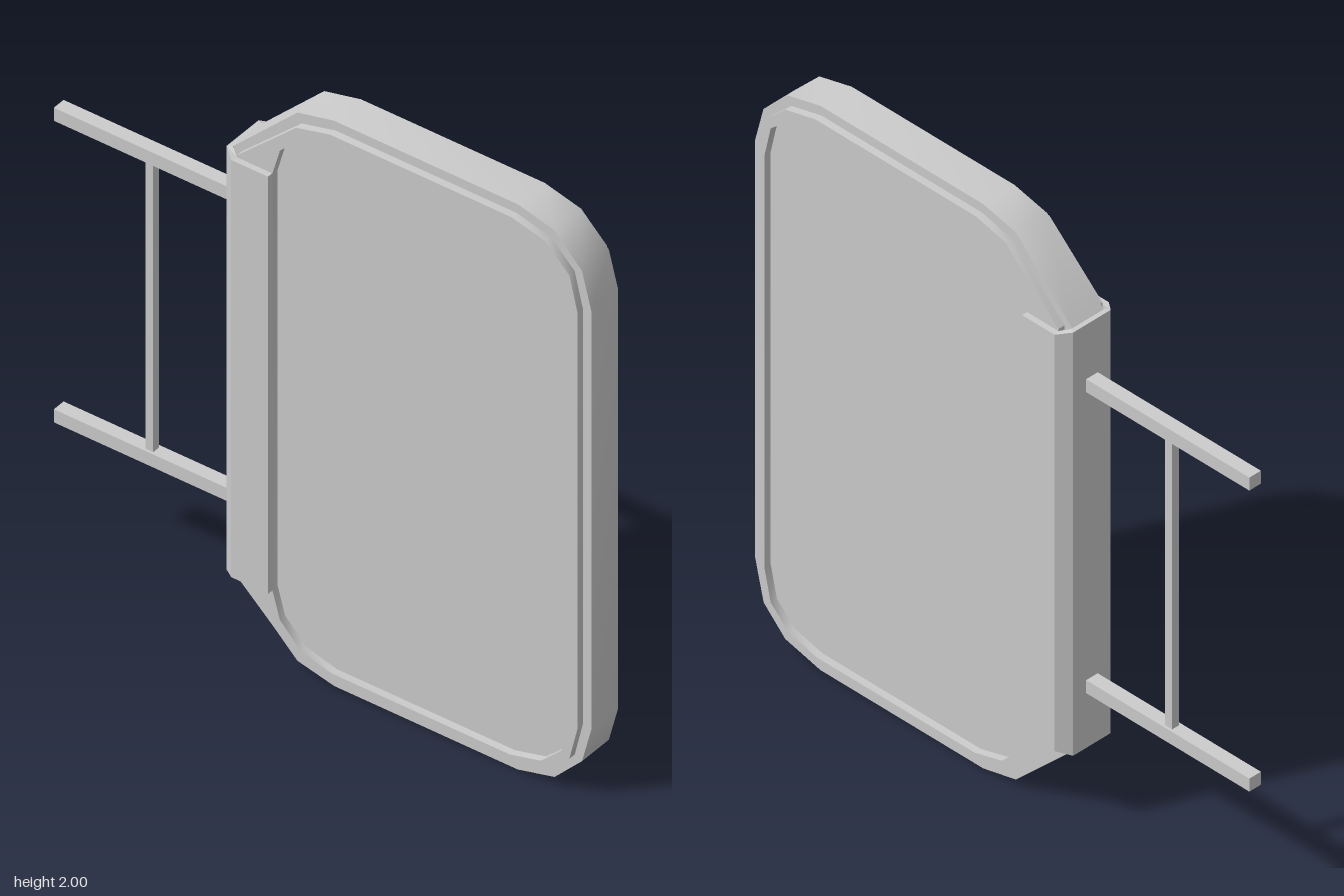
import * as THREE from 'three';
import { toCreasedNormals } from 'three/addons/utils/BufferGeometryUtils.js';

const material = new THREE.MeshStandardMaterial({ color: 0xcccccc });

// Upper half of each outline, from left to right; the lower half is mirrored about y = 1.
const OUTER = [[-0.3, 1.75], [-0.075, 1.97], [0.055, 2], [0.705, 2], [0.835, 1.967], [0.932, 1.867], [0.965, 1.74]];
const LIP = [[-0.27, 1.745], [-0.06, 1.938], [0.06, 1.968], [0.7, 1.968], [0.82, 1.938], [0.906, 1.855], [0.935, 1.735]];
const OPENING = [[-0.145, 1.735], [-0.118, 1.83], [-0.045, 1.906], [0.065, 1.936], [0.695, 1.936], [0.805, 1.908],
  [0.878, 1.84], [0.903, 1.73]];

// Closed outline, counter-clockwise
function outline(half) {
  const mirrored = half.map(([x, y]) => [x, 2 - y]);
  return [...mirrored, ...[...half].reverse()].map(([x, y]) => new THREE.Vector2(x, y));
}

// A plate between two depths, with an optional opening.
function plate(name, half, z0, z1, hole) {
  const shape = new THREE.Shape(outline(half));
  if (hole) shape.holes.push(new THREE.Path(outline(hole).reverse()));
  const geometry = new THREE.ExtrudeGeometry(shape, { depth: z1 - z0, bevelEnabled: false });
  geometry.translate(0, 0, z0);
  return named(name, toCreasedNormals(geometry, 0.75));
}

function named(name, geometry) {
  const mesh = new THREE.Mesh(geometry, material);
  mesh.name = name;
  return mesh;
}

function bar(name, x0, x1, y0, y1, halfDepth) {
  const mesh = named(name, new THREE.BoxGeometry(x1 - x0, y1 - y0, 2 * halfDepth));
  mesh.position.set((x0 + x1) / 2, (y0 + y1) / 2, 0);
  return mesh;
}

// Thin folded channel clasping the mounting edge, its section drawn in x-z and extruded along y
function mountingChannel() {
  const outside = [[-0.145, 0.108], [-0.275, 0.108], [-0.316, 0.075]];
  const inside = [[-0.3, 0.066], [-0.27, 0.088], [-0.145, 0.088]];
  const flip = (points) => [...points].reverse().map(([x, z]) => [x, -z]);
  const section = [...outside, ...flip(outside), ...flip(inside), ...inside];
  const geometry = new THREE.ExtrudeGeometry(
    new THREE.Shape(section.map(([x, z]) => new THREE.Vector2(x, z))), { depth: 1.476, bevelEnabled: false });
  geometry.rotateX(-Math.PI / 2).translate(0, 0.262, 0);
  // The back of the channel is slightly longer than its flanges
  const position = geometry.attributes.position;
  for (let i = 0; i < position.count; i++) {
    const y = position.getY(i);
    if (position.getX(i) < -0.29) position.setY(i, y + Math.sign(y - 1) * 0.012);
  }
  geometry.computeVertexNormals();
  return named('mountingChannel', geometry);
}

export function createModel() {
  const model = new THREE.Group();
  model.name = 'bracketedSignPanel';

  // Sign body with a raised lip on each face
  model.add(plate('panel', OUTER, -0.063, 0.063));
  model.add(plate('frontLip', LIP, 0.06, 0.088, OPENING));
  model.add(plate('backLip', LIP, -0.088, -0.06, OPENING));
  model.add(mountingChannel());

  // Support arms and the tie between them
  const bracket = new THREE.Group();
  bracket.name = 'bracket';
  bracket.add(bar('upperArm', -0.967, -0.3, 1.511, 1.557, 0.023));
  bracket.add(bar('lowerArm', -0.967, -0.3, 0.444, 0.49, 0.023));
  bracket.add(bar('armTie', -0.65, -0.622, 0.48, 1.52, 0.014));
  model.add(bracket);

  return model;
}
